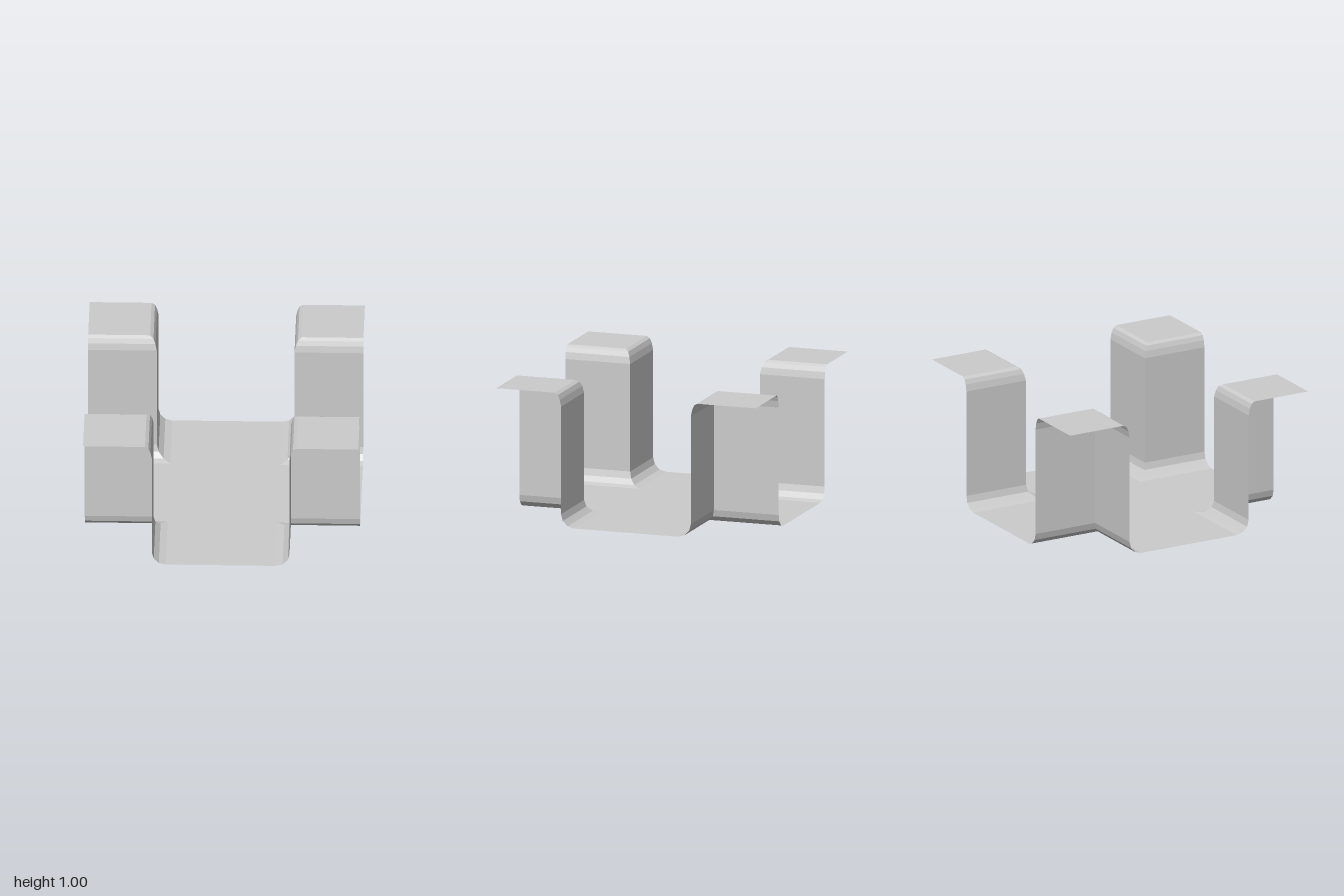
import * as THREE from 'three';

const HALF = 1;
// Wall profile from floor to plateau: [distance from the channel axis, height]
const PROFILE = [
  [0.4, 0], [0.45, 0.013], [0.487, 0.05], [0.5, 0.1],
  [0.5, 0.9], [0.51, 0.95], [0.525, 0.985], [0.55, 1],
];

const material = new THREE.MeshStandardMaterial({
  color: 0xcccccc, flatShading: true, side: THREE.DoubleSide,
});

function mesh(name, geometry) {
  const m = new THREE.Mesh(geometry, material);
  m.name = name;
  return m;
}

// Two walls meeting in a mitred corner, each row following the profile
function wallGeometry() {
  const positions = [];
  const rows = PROFILE.map(([d, y]) => [[d, y, HALF], [d, y, d], [HALF, y, d]]);
  for (let k = 0; k < rows.length - 1; k++) {
    for (let i = 0; i < 2; i++) {
      const a = rows[k][i], b = rows[k][i + 1];
      const a2 = rows[k + 1][i], b2 = rows[k + 1][i + 1];
      positions.push(...a, ...a2, ...b, ...a2, ...b2, ...b);
    }
  }
  const g = new THREE.BufferGeometry();
  g.setAttribute('position', new THREE.Float32BufferAttribute(positions, 3));
  g.computeVertexNormals();
  return g;
}

// Cross-shaped floor of the two channels
function floorGeometry() {
  const w = PROFILE[0][0];
  const outline = [];
  for (let q = 0; q < 4; q++) {
    for (const [x, y] of [[HALF, -w], [HALF, w], [w, w]]) {
      outline.push(new THREE.Vector2(x, y).rotateAround(new THREE.Vector2(), q * Math.PI / 2));
    }
  }
  return new THREE.ShapeGeometry(new THREE.Shape(outline)).rotateX(-Math.PI / 2);
}

export function createModel() {
  const model = new THREE.Group();
  model.name = 'channelCrossing';
  model.add(mesh('floor', floorGeometry()));

  const [inner, top] = PROFILE[PROFILE.length - 1];
  const size = HALF - inner, mid = (HALF + inner) / 2;
  const walls = wallGeometry();
  const plateau = new THREE.PlaneGeometry(size, size).rotateX(-Math.PI / 2).translate(mid, top, mid);

  // Four identical corners around the crossing
  for (let q = 0; q < 4; q++) {
    const corner = new THREE.Group();
    corner.name = 'corner';
    corner.add(mesh('walls', walls), mesh('plateau', plateau));
    corner.rotation.y = q * Math.PI / 2;
    model.add(corner);
  }
  return model;
}
